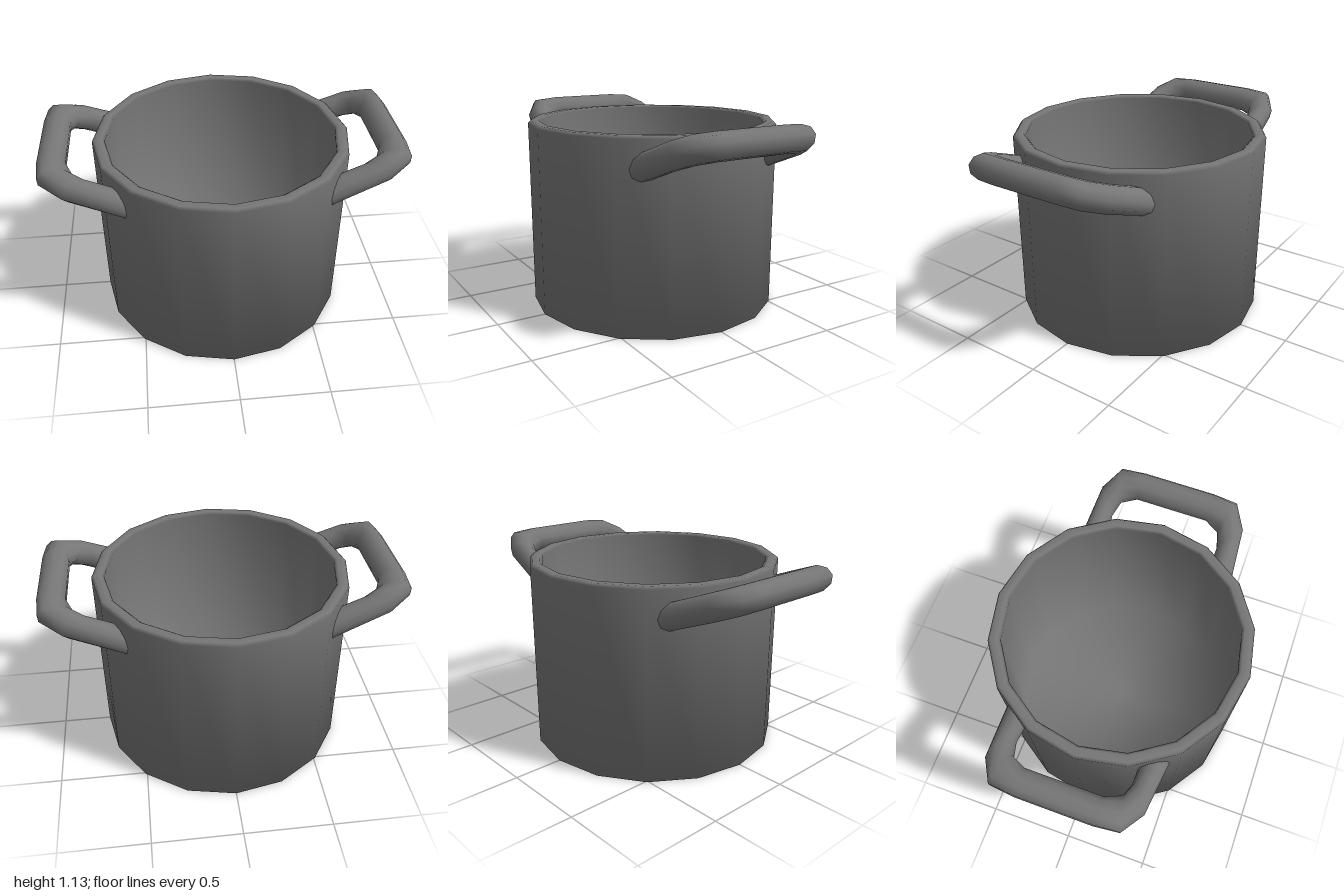
import * as THREE from 'three';

const material = new THREE.MeshStandardMaterial({ color: 0x767676 });

// Low-poly pot: outer wall, bevelled rim, inner wall and floor in one profile
function makePot() {
  const profile = [
    [0, 0], [0.72, 0], [0.72, 1.065], [0.705, 1.08],
    [0.665, 1.08], [0.65, 1.068], [0.65, 0.05], [0, 0.05],
  ].map(([r, y]) => new THREE.Vector2(r, y));
  const pot = new THREE.Mesh(new THREE.LatheGeometry(profile, 16), material);
  pot.name = 'pot';
  return pot;
}

// Tilted loop handle: each ring is given by its inner and outer point (x, z)
function makeHandle(name) {
  const half = [
    [0.58, 0.318, 0.525, 0.465],
    [0.727, 0.32, 0.86, 0.43],
    [0.807, 0.295, 0.985, 0.35],
    [0.85, 0.21, 0.997, 0.21],
  ];
  const mirrored = half.map(([a, b, c, d]) => [a, -b, c, -d]);
  const rings = [...mirrored, ...half.reverse()];
  const sides = 10, slope = 0.39, radius = 0.073;
  const onPlane = (x, z) => new THREE.Vector3(x, 1.06 + slope * (x - 0.925), z);
  const up = new THREE.Vector3(-slope, 1, 0).setLength(radius);

  const positions = [], index = [];
  rings.forEach(([xi, zi, xo, zo], i) => {
    const inner = onPlane(xi, zi), outer = onPlane(xo, zo);
    const centre = inner.clone().add(outer).multiplyScalar(0.5);
    const out = outer.sub(centre);
    for (let j = 0; j < sides; j++) {
      const t = (j / sides) * Math.PI * 2;
      const p = centre.clone().addScaledVector(out, Math.cos(t)).addScaledVector(up, Math.sin(t));
      positions.push(p.x, p.y, p.z);
      if (i === rings.length - 1) continue;
      const a = i * sides + j, b = i * sides + (j + 1) % sides;
      index.push(a, b, b + sides, a, b + sides, a + sides);
    }
  });
  const geometry = new THREE.BufferGeometry();
  geometry.setAttribute('position', new THREE.Float32BufferAttribute(positions, 3));
  geometry.setIndex(index);
  geometry.computeVertexNormals();
  const handle = new THREE.Mesh(geometry, material);
  handle.name = name;
  return handle;
}

export function createModel() {
  const group = new THREE.Group();
  group.name = 'cookingPot';
  const left = makeHandle('leftHandle');
  const right = makeHandle('rightHandle');
  right.rotation.y = Math.PI;
  group.add(makePot(), left, right);
  return group;
}
